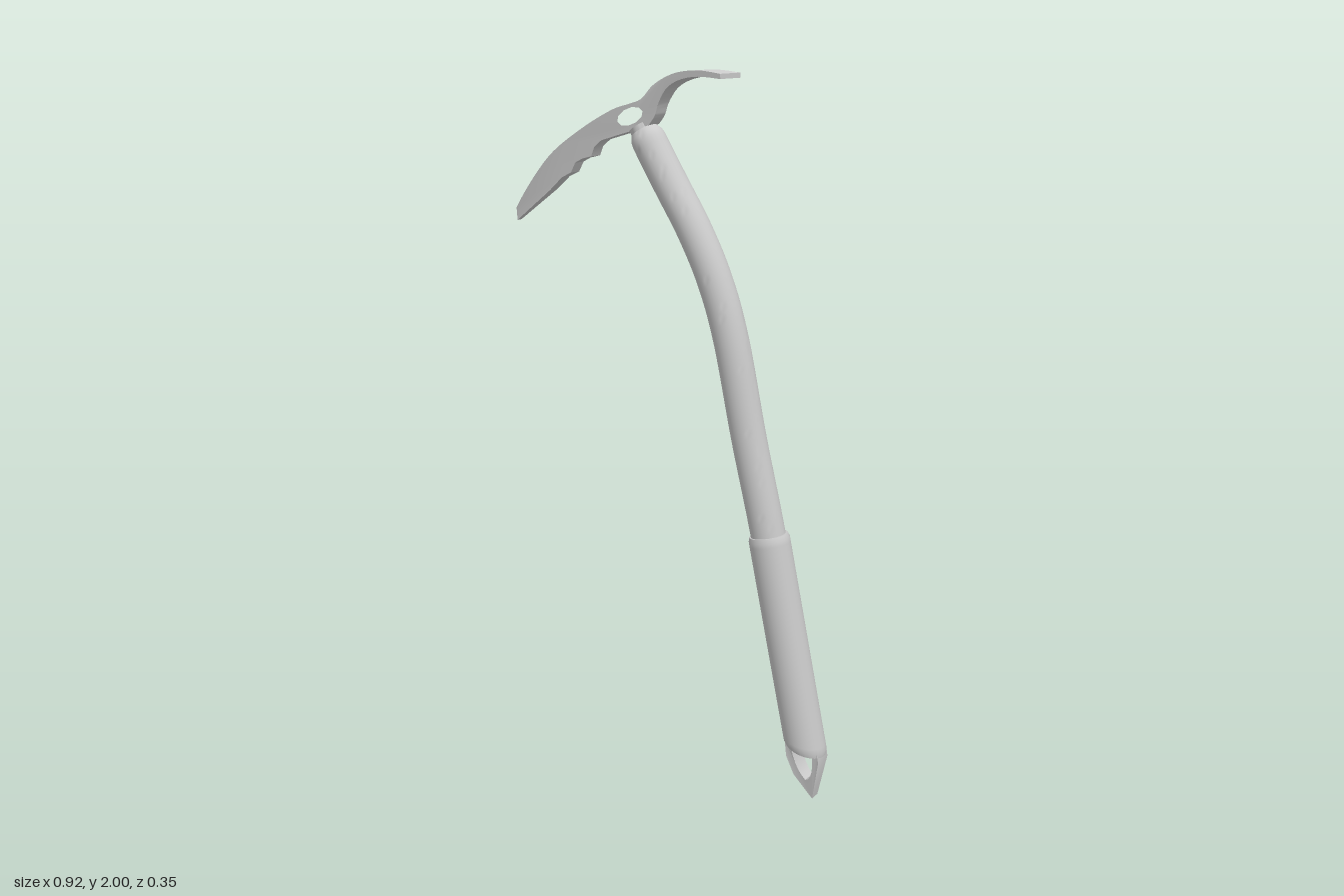
import * as THREE from 'three';
import { toCreasedNormals } from 'three/addons/utils/BufferGeometryUtils.js';

const material = new THREE.MeshStandardMaterial({ color: 0xcccccc });
const v2 = (p) => new THREE.Vector2(p[0], p[1]);

// The axe is drawn flat in (x, y); pose() lays it on its leaning, turned plane,
// with z measured along the plane's normal.
const normal = new THREE.Vector3(0.18, -0.086, 1).normalize();
function pose(v) {
  const w = v.z;
  v.z = 0.105 - 0.18 * v.x - 0.086 * (1.85 - v.y);
  return v.addScaledVector(normal, w);
}

function reshape(geometry, rule) {
  const pos = geometry.attributes.position;
  const v = new THREE.Vector3();
  for (let i = 0; i < pos.count; i++) {
    rule(v.fromBufferAttribute(pos, i));
    pose(v);
    pos.setXYZ(i, v.x, v.y, v.z);
  }
  return toCreasedNormals(geometry, 0.6);
}

// Round bar along a flat curve (bottom to top); radius and cut depend on t
function bar(name, points, radius, steps, cut = () => 0) {
  const curve = new THREE.SplineCurve(points.map(v2));
  const geometry = new THREE.CylinderGeometry(1, 1, 1, 28, steps);
  const mesh = new THREE.Mesh(reshape(geometry, (v) => {
    const t = THREE.MathUtils.clamp(v.y + 0.5, 0, 1);
    const c = curve.getPointAt(t);
    const d = curve.getTangentAt(t);
    const r = radius(t);
    const along = cut(t) * v.x;
    v.set(c.x + d.y * v.x * r + d.x * along, c.y - d.x * v.x * r + d.y * along, v.z * r);
  }), material);
  mesh.name = name;
  return mesh;
}

// Flat profile extruded across the plane, its width following width(x, y)
function plate(name, shape, width) {
  const geometry = new THREE.ExtrudeGeometry(shape, { depth: 1, bevelEnabled: false, curveSegments: 5 });
  geometry.translate(0, 0, -0.5);
  const mesh = new THREE.Mesh(reshape(geometry, (v) => { v.z *= width(v.x, v.y); }), material);
  mesh.name = name;
  return mesh;
}

function headShape() {
  const s = new THREE.Shape();
  // Top edge from pick tip to adze edge
  s.moveTo(-0.463, 1.638);
  s.splineThru([[-0.39, 1.722], [-0.31, 1.796], [-0.2, 1.86], [-0.1, 1.905], [-0.04, 1.92], [0, 1.932],
    [0.04, 1.966], [0.09, 1.988], [0.14, 1.998], [0.2, 1.998], [0.262, 1.988]].map(v2));
  // Underside of the adze, down to the neck
  s.lineTo(0.262, 1.975);
  s.splineThru([[0.19, 1.983], [0.13, 1.977], [0.085, 1.957], [0.055, 1.92], [0.04, 1.887], [0.02, 1.864]].map(v2));
  // Underside of the pick with its teeth
  [[0, 1.857], [-0.085, 1.838], [-0.14, 1.825], [-0.165, 1.808], [-0.178, 1.782], [-0.21, 1.776], [-0.235, 1.765],
    [-0.252, 1.738], [-0.285, 1.725], [-0.33, 1.69], [-0.463, 1.602]].forEach((p) => s.lineTo(p[0], p[1]));
  s.closePath();
  // Carabiner eye
  const eye = new THREE.Path();
  eye.absellipse(-0.04, 1.887, 0.044, 0.022, 0, Math.PI * 2, true, 0.3);
  s.holes.push(eye);
  return s;
}

function spikeShape() {
  const s = new THREE.Shape([[0.35, 0.17], [0.352, 0.12], [0.37, 0.065], [0.422, 0], [0.452, 0.12], [0.448, 0.155]].map(v2));
  const eye = new THREE.Path();
  eye.moveTo(0.37, 0.15);
  eye.quadraticCurveTo(0.377, 0.085, 0.406, 0.056);
  eye.quadraticCurveTo(0.432, 0.06, 0.435, 0.14);
  eye.closePath();
  s.holes.push(eye);
  return s;
}

export function createModel() {
  const group = new THREE.Group();
  group.name = 'iceAxe';

  // Pick tapers to its tip, adze flares to its edge
  group.add(plate('head', headShape(), (x) => (x < 0.05
    ? THREE.MathUtils.mapLinear(Math.sqrt((x + 0.463) / 0.513), 0, 1, 0.018, 0.05)
    : THREE.MathUtils.mapLinear(x, 0.05, 0.26, 0.05, 0.1))));

  // Neck between head and shaft
  group.add(bar('neck', [[-0.003, 1.825], [-0.021, 1.86]], () => 0.035, 1));

  // Curved shaft with a rounded top
  group.add(bar('shaft',
    [[0.37, 0.35], [0.312, 0.75], [0.265, 1.024], [0.225, 1.29], [0.185, 1.447], [0.13, 1.58], [0.06, 1.71], [-0.013, 1.848]],
    (t) => 0.048 - 0.011 * Math.max(0, (t - 0.98) / 0.02) ** 2, 100));

  // Grip sleeve, cut on a slant at the bottom
  group.add(bar('grip', [[0.4, 0.147], [0.312, 0.757]],
    (t) => 0.057 - 0.004 * Math.max(0, 1 - t / 0.02, (t - 0.98) / 0.02), 50,
    (t) => -0.024 * Math.max(0, 1 - t * 3)));

  // Spike loop at the foot
  group.add(plate('spike', spikeShape(), (x, y) => 0.032 + 0.2 * Math.min(y, 0.13)));
  return group;
}
